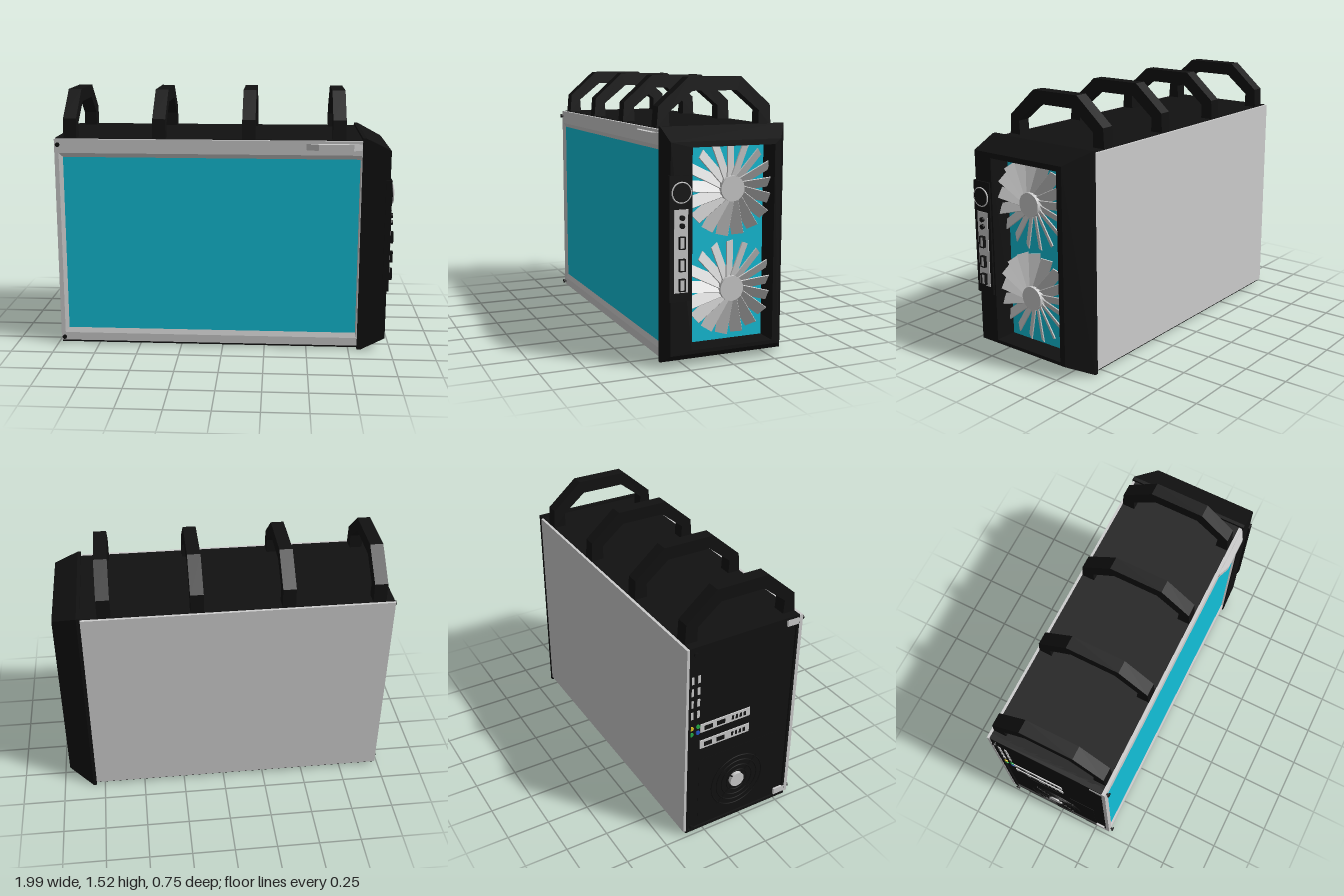
import * as THREE from 'three';

const mat = (color, opts = {}) => new THREE.MeshStandardMaterial({ color, ...opts });
const grey = mat(0xcccccc), black = mat(0x111111), cyan = mat(0x12bfd8);
const silver = mat(0xcccccc, { side: THREE.DoubleSide });

function add(parent, name, geometry, material, x = 0, y = 0, z = 0) {
  const mesh = new THREE.Mesh(geometry, material);
  mesh.name = name;
  mesh.position.set(x, y, z);
  parent.add(mesh);
  return mesh;
}

// Box given by its limits
function block(parent, name, material, [x0, x1], [y0, y1], [z0, z1]) {
  return add(parent, name, new THREE.BoxGeometry(x1 - x0, y1 - y0, z1 - z0), material,
    (x0 + x1) / 2, (y0 + y1) / 2, (z0 + z1) / 2);
}

// Disc whose axis runs along z
function disc(parent, name, material, radius, depth, x, y, z, sides = 24) {
  return add(parent, name, new THREE.CylinderGeometry(radius, radius, depth, sides).rotateX(Math.PI / 2), material, x, y, z);
}

// Flat-faced skin through rectangular rings [x0, x1, y0, y1, z], facing +z
function rectLoft(rings, cap = false) {
  const corners = rings.map(([x0, x1, y0, y1, z]) => [[x0, y0, z], [x1, y0, z], [x1, y1, z], [x0, y1, z]]);
  const pos = [];
  const quad = (a, b, c, d) => pos.push(...a, ...b, ...c, ...a, ...c, ...d);
  for (let r = 0; r + 1 < corners.length; r++) {
    const a = corners[r], b = corners[r + 1];
    for (let i = 0; i < 4; i++) {
      const j = (i + 1) % 4;
      quad(a[i], a[j], b[j], b[i]);
    }
  }
  if (cap) quad(...corners[corners.length - 1]);
  const g = new THREE.BufferGeometry();
  g.setAttribute('position', new THREE.Float32BufferAttribute(pos, 3));
  g.computeVertexNormals();
  return g;
}

// Fan facing +z with pitched flat blades
function fan(parent, name, x, y, z, radius, hubRadius, blades, width) {
  const group = new THREE.Group();
  group.name = name;
  group.position.set(x, y, z);
  const inner = hubRadius * 0.8, length = radius - inner;
  for (let i = 0; i < blades; i++) {
    const arm = new THREE.Group();
    arm.rotation.z = (i / blades) * Math.PI * 2;
    const blade = add(arm, 'fanBlade', new THREE.BoxGeometry(width, length, 0.006), grey, 0, inner + length / 2, 0);
    blade.rotation.y = 0.6;
    group.add(arm);
  }
  disc(group, 'fanHub', grey, hubRadius, 0.06, 0, 0, 0.005, 32);
  parent.add(group);
}

// Thumb screw pointing along +z
function screw(parent, x, y, z) {
  disc(parent, 'screwShank', black, 0.006, 0.014, x, y, z + 0.006, 10);
  disc(parent, 'screwHead', black, 0.013, 0.008, x, y, z + 0.014, 14);
}

function createModel() {
  const model = new THREE.Group();
  model.name = 'computerCase';

  // Case body and side panels
  block(model, 'caseBody', black, [-0.95, 0.81], [0.005, 1.255], [-0.362, 0.325]);
  block(model, 'backPanel', grey, [-0.98, 0.81], [0.022, 1.252], [-0.378, -0.362]);
  add(model, 'windowFrame', rectLoft([
    [-0.98, 0.805, 0.022, 1.252, 0.323],
    [-0.98, 0.805, 0.022, 1.252, 0.345],
    [-0.955, 0.797, 0.07, 1.17, 0.345],
    [-0.93, 0.79, 0.103, 1.143, 0.334],
  ]), grey);
  block(model, 'window', cyan, [-0.94, 0.8], [0.095, 1.15], [0.32, 0.335]);
  for (const y of [0.045, 1.22]) screw(model, -0.958, y, 0.345);

  // Panel latch
  const latch = new THREE.Shape([[0.48, 0.34], [0.8, 0.34], [0.8, 0.35], [0.75, 0.375], [0.55, 0.375], [0.48, 0.348]]
    .map(p => new THREE.Vector2(...p)));
  add(model, 'panelLatch', new THREE.ExtrudeGeometry(latch, { depth: 0.036, bevelEnabled: false }).rotateX(Math.PI / 2),
    grey, 0, 1.236, 0);

  // Carry handles, one angular arch repeated
  const arch = new THREE.Shape([[0.325, 1.25], [0.315, 1.367], [0.14, 1.522], [-0.175, 1.522], [-0.355, 1.367], [-0.362, 1.25],
    [-0.285, 1.25], [-0.287, 1.335], [-0.15, 1.447], [0.115, 1.447], [0.255, 1.335], [0.25, 1.25]]
    .map(p => new THREE.Vector2(...p)));
  const archGeo = new THREE.ExtrudeGeometry(arch, { depth: 0.076, bevelEnabled: false })
    .translate(0, 0, -0.038).rotateY(-Math.PI / 2);
  for (let i = 0; i < 4; i++) add(model, 'handle', archGeo, black, -0.89 + i * 0.52, 0, 0);

  // Fan end: local z points to world +x, local x to world -z
  const fanEnd = new THREE.Group();
  fanEnd.name = 'fanEnd';
  fanEnd.rotation.y = Math.PI / 2;
  model.add(fanEnd);
  add(fanEnd, 'bezel', rectLoft([
    [-0.32, 0.36, 0.02, 1.25, 0.802],
    [-0.352, 0.38, 0, 1.27, 0.802],
    [-0.352, 0.38, 0, 1.27, 0.822],
    [-0.352, 0.285, 0.075, 1.2, 0.965],
    [-0.23, 0.25, 0.095, 1.17, 0.965],
    [-0.23, 0.25, 0.095, 1.17, 0.83],
  ]), black);
  block(fanEnd, 'fanBackdrop', cyan, [-0.24, 0.26], [0.09, 1.18], [0.815, 0.835]);
  for (const y of [0.4, 0.94]) fan(fanEnd, 'intakeFan', 0.018, y, 0.9, 0.255, 0.068, 17, 0.066);

  // Control strip with button, jacks and ports
  block(fanEnd, 'controlStrip', black, [-0.362, -0.24], [0.37, 1.03], [0.94, 0.975]);
  block(fanEnd, 'portPlate', grey, [-0.338, -0.26], [0.417, 0.855], [0.96, 0.979]);
  disc(fanEnd, 'powerButton', black, 0.05, 0.03, -0.299, 0.943, 0.972, 32);
  add(fanEnd, 'buttonRing', new THREE.TorusGeometry(0.053, 0.004, 8, 40), grey, -0.299, 0.943, 0.984);
  for (const y of [0.77, 0.812]) disc(fanEnd, 'audioJack', black, 0.014, 0.02, -0.296, y, 0.982, 16);
  for (const y of [0.46, 0.565, 0.682]) {
    add(fanEnd, 'portShell', rectLoft([
      [-0.314, -0.28, y - 0.033, y + 0.033, 0.97],
      [-0.314, -0.28, y - 0.033, y + 0.033, 0.998],
      [-0.31, -0.284, y - 0.029, y + 0.029, 0.998],
      [-0.31, -0.284, y - 0.029, y + 0.029, 0.98],
    ]), black);
    block(fanEnd, 'portTongue', grey, [-0.309, -0.285], [y - 0.028, y + 0.028], [0.975, 0.992]);
  }

  // Connector end: local z points to world -x, local x to world z
  const rear = new THREE.Group();
  rear.name = 'connectorEnd';
  rear.rotation.y = -Math.PI / 2;
  model.add(rear);
  add(rear, 'connectorPlate', rectLoft([
    [-0.362, 0.325, 0.005, 1.255, 0.94],
    [-0.362, 0.325, 0.005, 1.255, 0.978],
    [-0.345, 0.31, 0.022, 1.24, 0.978],
    [-0.345, 0.31, 0.022, 1.24, 0.968],
  ], true), black);
  for (const y of [0.045, 1.22]) {
    screw(rear, -0.33, y, 0.978);
    block(rear, 'cornerBracket', grey, [0.25, 0.322], [y - 0.02, y + 0.02], [0.96, 0.98]);
  }

  // Sockets in two columns
  for (let i = 0; i < 4; i++)
    for (const x of [-0.335, -0.295])
      block(rear, 'socket', grey, [x - 0.008, x + 0.008], [0.8 + i * 0.075, 0.845 + i * 0.075], [0.96, 0.972]);
  [0x22aa44, 0x2255cc, 0xd8c020, 0x22aa44].forEach((color, i) =>
    disc(rear, 'audioSocket', mat(color), 0.012, 0.01, -0.335 + (i % 2) * 0.04, 0.7 + Math.floor(i / 2) * 0.04, 0.97, 14));

  // Expansion cards with dark sockets
  for (const y of [0.61, 0.72]) {
    block(rear, 'cardBracket', grey, [-0.28, 0.04], [y - 0.027, y + 0.027], [0.95, 0.974]);
    for (const x of [-0.23, -0.15]) block(rear, 'cardSocket', black, [x - 0.025, x + 0.025], [y - 0.013, y + 0.013], [0.96, 0.978]);
    for (let i = 0; i < 4; i++)
      block(rear, 'cardVent', black, [-0.08 + i * 0.026, -0.066 + i * 0.026], [y - 0.013, y + 0.013], [0.96, 0.976]);
  }

  // Power supply with fan behind a ring grille
  block(rear, 'powerSupply', black, [-0.28, 0.24], [0.06, 0.5], [0.94, 0.969]);
  fan(rear, 'powerSupplyFan', -0.03, 0.27, 0.955, 0.165, 0.045, 17, 0.03);
  for (let i = 1; i <= 5; i++)
    add(rear, 'grilleRing', new THREE.TorusGeometry(0.034 * i, 0.004, 6, 36), black, -0.03, 0.27, 0.982);
  for (const a of [0, Math.PI / 2])
    add(rear, 'grilleBar', new THREE.BoxGeometry(0.36, 0.008, 0.008), black, -0.03, 0.27, 0.982).rotation.z = a + Math.PI / 4;

  return model;
}

export { createModel };
